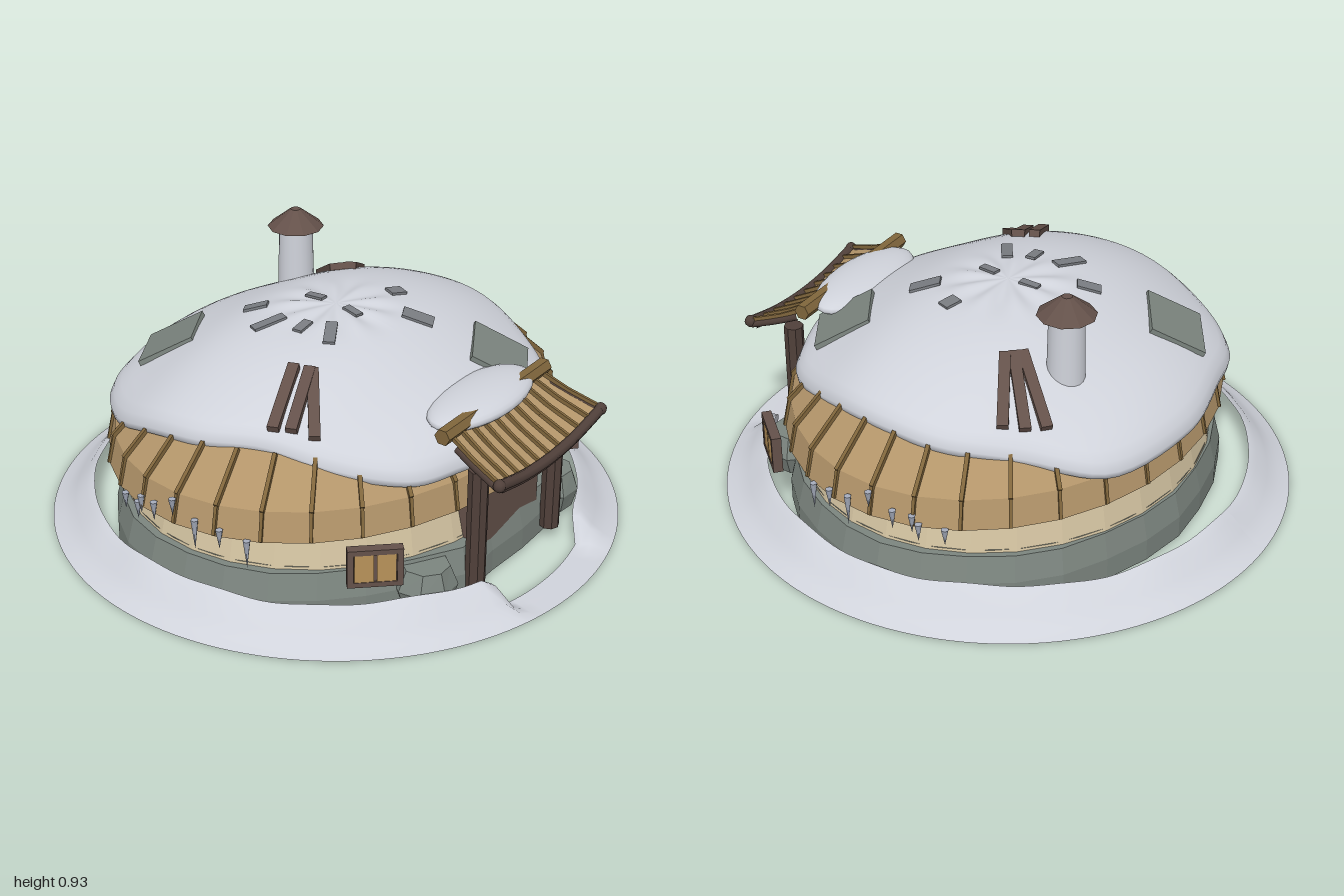
import * as THREE from 'three';

const mat = (name, color, side = THREE.FrontSide) => {
  const m = new THREE.MeshStandardMaterial({ color, side });
  m.name = name;
  return m;
};
const V = (x, y, z) => new THREE.Vector3(x, y, z);
const V2 = (list) => list.map(([x, y]) => new THREE.Vector2(x, y));

// Give a geometry hard facets
function facet(geo) {
  const g = geo.index ? geo.toNonIndexed() : geo;
  g.computeVertexNormals();
  return g;
}

// Elliptical roof plan and the height of the snow dome above it
const RX = 0.87, RZ = 0.72, SIDES = 30;
const domeY = (x, z) => 0.765 - 0.28 * Math.pow(Math.hypot(x / RX, z / RZ), 2.3)
  - 0.022 * Math.exp(-(((Math.abs(z) - 0.44) / 0.17) ** 2));
const onDome = (x, z, lift = 0) => V(x, domeY(x, z) + lift, z);
const domeNormal = (x, z, s = 0.03) =>
  V(domeY(x - s, z) - domeY(x + s, z), 2 * s, domeY(x, z - s) - domeY(x, z + s)).normalize();

export function createModel() {
  const model = new THREE.Group();
  const snow = mat('snow', 0xd0d3db, THREE.DoubleSide);
  const thatch = mat('thatch', 0xb3956a, THREE.DoubleSide);
  const binding = mat('thatchBinding', 0x80663c);
  const plaster = mat('plaster', 0xd2c2a0, THREE.DoubleSide);
  const stone = mat('stone', 0x7c857f, THREE.DoubleSide);
  const wood = mat('darkWood', 0x64514a);
  const beamWood = mat('beamWood', 0x50403a);
  const pane = mat('windowPane', 0xb8925a);
  const ice = mat('ice', 0xa6adbd);
  const slate = mat('slate', 0x7a7d82);

  const add = (name, geo, material, parent = model) => {
    const m = new THREE.Mesh(geo, material);
    m.name = name;
    parent.add(m);
    return m;
  };
  const group = (name) => {
    const g = new THREE.Group();
    g.name = name;
    model.add(g);
    return g;
  };
  // Square bar between two points
  const bar = (name, p, q, w, h, material, parent) => {
    const m = add(name, new THREE.BoxGeometry(w, h, p.distanceTo(q)), material, parent);
    m.position.copy(p).add(q).multiplyScalar(0.5);
    m.lookAt(q);
    return m;
  };
  // Elliptical ring from a profile
  const ovalLathe = (pts, ratio) =>
    new THREE.LatheGeometry(V2(pts), SIDES, Math.PI / SIDES).scale(1, 1, ratio);
  // Plate lying on the dome, turned about the vertical
  const plate = (name, x, z, w, h, d, turn, lift, material, parent) => {
    const m = add(name, new THREE.BoxGeometry(w, h, d), material, parent);
    m.position.copy(onDome(x, z, lift));
    m.quaternion.setFromUnitVectors(V(0, 1, 0), domeNormal(x, z));
    m.rotateY(turn);
  };

  // Snow bank around the hut, flattened in front of the door
  const bank = new THREE.LatheGeometry(V2([[1, 0], [0.96, 0.018], [0.92, 0.05], [0.88, 0.095], [0.85, 0.112]]), 144, Math.PI);
  const bp = bank.attributes.position;
  for (let i = 0; i < bp.count; i++) {
    const x = bp.getX(i), y = bp.getY(i), z = bp.getZ(i);
    const a = Math.atan2(x, z), r = Math.hypot(x, z);
    const keep = z > 0 ? THREE.MathUtils.smoothstep(Math.abs(x), 0.22, 0.27) : 1;
    const r2 = THREE.MathUtils.lerp(1 - (1 - r) * 0.8, r, keep);
    const h = y * (1 + 0.05 * Math.sin(a * 7) + 0.03 * Math.sin(a * 17));
    bp.setXYZ(i, r2 * Math.sin(a), h * (0.02 + 0.98 * keep), r2 * Math.cos(a));
  }
  bank.computeVertexNormals();
  add('snowBank', bank, snow);

  // Open stone footing, rough and flattened at the front
  const footing = ovalLathe([[0.84, 0.01], [0.84, 0.09], [0.815, 0.18], [0.76, 0.18]], 0.86);
  const fp = footing.attributes.position;
  for (let i = 0; i < fp.count; i++) {
    const x = fp.getX(i), z = fp.getZ(i);
    const k = 1 + 0.006 * Math.sin(Math.atan2(x, z) * 9);
    const front = z > 0 && Math.abs(x) < 0.28;
    const flat = Math.hypot(x, z / 0.86) * 0.86 * 0.995 + 0.004 * Math.sin(x * 20);
    fp.setX(i, x * k);
    fp.setZ(i, front ? flat : z * k);
  }
  add('stoneBase', facet(footing), stone);

  // Floor, plaster wall and thatched eave
  const floor = add('floor', new THREE.CircleGeometry(0.785, 48).scale(1, 0.88, 1), stone);
  floor.rotation.x = Math.PI / 2;
  floor.position.y = 0.19;
  add('wall', facet(ovalLathe([[0.79, 0.17], [0.75, 0.33], [0.7, 0.5]], 0.88)), plaster);
  add('thatchedRoof', facet(ovalLathe([[0.74, 0.34], [RX, 0.32], [0.845, 0.42], [0.7, 0.55], [0.52, 0.61], [0, 0.68]], RZ / RX)), thatch);

  // Ribs that tie the thatch down
  const ribs = group('roofRibs');
  for (let i = 0; i < SIDES; i++) {
    const a = (i + 0.5) / SIDES * Math.PI * 2;
    const at = (e, y) => V(RX * e * Math.sin(a), y, RZ * e * Math.cos(a));
    bar('lowerRib', at(1.002, 0.325), at(0.976, 0.422), 0.011, 0.012, binding, ribs);
    bar('upperRib', at(0.98, 0.422), at(0.81, 0.555), 0.014, 0.016, binding, ribs);
  }

  // Snow dome with an uneven drooping edge
  const edge = new THREE.CatmullRomCurve3([
    [0, 0.71], [0.35, 0.62], [0.49, 0.54], [0.65, 0.27], [0.71, 0.03], [0.7, -0.18],
    [0.58, -0.41], [0.43, -0.63], [0.06, -0.73], [-0.24, -0.69], [-0.45, -0.63],
    [-0.65, -0.41], [-0.72, -0.05], [-0.65, 0.19], [-0.56, 0.41], [-0.41, 0.6], [-0.24, 0.67],
  ].map(([x, z]) => V(x, 0, z)), true);
  const drop = [[0.93, -0.07], [0.975, -0.075], [1, -0.055], [1.005, -0.03], [0.985, -0.008], [0.95, 0]];
  for (let f = 0.9; f > 0.01; f -= 0.05) drop.push([f, 0]);
  drop.push([0, 0]);
  const SEG = 108;
  const dome = new THREE.LatheGeometry(V2(drop), SEG);
  const dp = dome.attributes.position;
  for (let i = 0; i < dp.count; i++) {
    const k = Math.floor(i / drop.length), [f, d] = drop[i % drop.length];
    const p = edge.getPoint((k % SEG) / SEG).multiplyScalar(f);
    const a = Math.atan2(p.x, p.z);
    const ripple = Math.exp(-(((f - 0.2) / 0.1) ** 2)) * 0.006 * Math.sin(a * 9);
    dp.setXYZ(i, p.x, domeY(p.x, p.z) + d + (f > 0 ? ripple : 0), p.z);
  }
  dome.computeVertexNormals();
  add('roofSnow', dome, snow);

  // Stone slabs lying on the dome
  for (const [x, z] of [[-0.28, -0.5], [0.28, 0.485]]) plate('roofSlab', x, z, 0.24, 0.018, 0.21, 0.55, 0.002, stone, model);

  // Bare slate patches showing through around the crown
  const patches = group('crownPatches');
  for (const [x, z, len, wide] of [
    [-0.135, -0.24, 0.085, 0.045], [-0.23, -0.11, 0.12, 0.04], [-0.2, 0.01, 0.07, 0.035],
    [-0.18, 0.11, 0.12, 0.04], [-0.02, 0.085, 0.07, 0.03], [0, -0.085, 0.07, 0.03],
    [0.13, 0.25, 0.11, 0.06], [0.22, 0.095, 0.06, 0.05],
  ]) plate('slatePatch', x, z, len, 0.009, wide, Math.atan2(-z, x), 0.005, slate, patches);

  // Loose planks on the dome
  const planks = group('roofPlanks');
  for (const [x1, z1, x2, z2] of [
    [0.32, -0.24, 0.49, -0.43], [0.34, -0.22, 0.54, -0.38], [0.36, -0.2, 0.58, -0.32],
    [-0.62, 0.21, -0.39, 0.12], [-0.59, 0.26, -0.37, 0.17], [-0.56, 0.33, -0.37, 0.18],
  ]) bar('plank', onDome(x1, z1, 0.014), onDome(x2, z2, 0.014), 0.038, 0.025, wood, planks);

  // Chimney and its cap
  const flue = add('chimney', new THREE.CylinderGeometry(0.06, 0.066, 0.3, 20), snow);
  flue.position.set(0.26, 0.705, -0.37);
  const cap = add('chimneyCap', facet(new THREE.CylinderGeometry(0.018, 0.1, 0.065, 10)), wood);
  cap.position.set(0.26, 0.898, -0.37);

  // Door and the boulders beside it
  const door = add('door', new THREE.BoxGeometry(0.4, 0.21, 0.13), wood);
  door.position.set(0, 0.225, 0.64);
  for (const s of [-1, 1]) {
    const g = new THREE.CylinderGeometry(0.08, 0.085, 0.14, 8, 2);
    const p = g.attributes.position;
    for (let i = 0; i < p.count; i++) {
      if (Math.abs(p.getY(i)) < 0.01) { p.setX(i, p.getX(i) * 1.35); p.setZ(i, p.getZ(i) * 1.25); }
    }
    const rock = add('boulder', facet(g), stone);
    rock.position.set(s * 0.385, 0.097, 0.645);
    rock.rotation.y = s * 0.3;
  }

  // Windows
  for (const s of [-1, 1]) {
    const w = group(s > 0 ? 'leftWindow' : 'rightWindow');
    w.position.set(s * 0.592, 0.243, 0.59);
    w.rotation.y = s * 0.82;
    add('windowBack', new THREE.BoxGeometry(0.16, 0.12, 0.02), wood, w);
    for (const t of [-1, 1]) {
      add('frameRail', new THREE.BoxGeometry(0.18, 0.018, 0.034), wood, w).position.y = t * 0.059;
      add('frameStile', new THREE.BoxGeometry(0.02, 0.136, 0.034), wood, w).position.x = t * 0.08;
      add('pane', new THREE.BoxGeometry(0.062, 0.1, 0.006), pane, w).position.set(t * 0.036, 0, 0.012);
    }
  }

  // Porch posts
  const porch = group('porch');
  for (const s of [-1, 1]) {
    const post = add('post', facet(new THREE.CylinderGeometry(0.035, 0.035, 0.44, 8)), beamWood, porch);
    post.position.set(s * 0.235, 0.26, 0.74);
  }

  // Curved porch roof with upturned corners
  const porchAt = (u, v, lift = 0) =>
    V(u * (0.27 + 0.043 * v), 0.592 - 0.13 * Math.pow(v, 0.85) + 0.04 * u * u * v + lift, 0.64 + 0.22 * v);
  const sheet = new THREE.PlaneGeometry(2, 1, 12, 4);
  const sp = sheet.attributes.position;
  for (let i = 0; i < sp.count; i++) {
    const q = porchAt(sp.getX(i), 0.5 - sp.getY(i));
    sp.setXYZ(i, q.x, q.y, q.z);
  }
  sheet.computeVertexNormals();
  add('porchThatch', sheet, thatch, porch);
  for (let i = 0; i <= 10; i++) {
    const u = -1 + i / 5;
    bar('porchRib', porchAt(u, 0, 0.006), porchAt(u, 0.5, 0.006), 0.011, 0.014, binding, porch);
    bar('porchRib', porchAt(u, 0.5, 0.006), porchAt(u, 0.98, 0.006), 0.011, 0.014, binding, porch);
  }
  const tube = (name, pts, r) =>
    add(name, new THREE.TubeGeometry(new THREE.CatmullRomCurve3(pts), 16, r, 8), beamWood, porch);
  const us = [-1, -0.5, 0, 0.5, 1];
  tube('eaveBeam', us.map((u) => porchAt(u, 1.03)), 0.018);
  tube('lowerEaveBeam', us.map((u) => porchAt(u * 0.98, 1, -0.018)), 0.016);
  for (const s of [-1, 1]) {
    tube('sideBeam', [0.2, 0.6, 1].map((v) => porchAt(s, v, -0.012)), 0.014);
    const end = add('eaveEnd', new THREE.SphereGeometry(0.022, 8, 6), beamWood, porch);
    end.position.copy(porchAt(s, 1.03));
  }

  // Porch ridge log and the snow across it
  const ridge = add('porchRidge', facet(new THREE.CylinderGeometry(0.029, 0.029, 0.62, 6)), binding, porch);
  ridge.rotation.z = Math.PI / 2;
  ridge.position.set(0, 0.597, 0.645);
  const drift = add('porchSnow', new THREE.SphereGeometry(1, 28, 14), snow, porch);
  drift.scale.set(0.26, 0.045, 0.125);
  drift.position.set(0, 0.592, 0.59);

  // Icicles under the side eaves: z, top, length
  const icicles = group('icicles');
  for (const s of [-1, 1]) {
    for (const [z, top, len] of [
      [0.255, 0.325, 0.1], [0.17, 0.35, 0.07], [0.085, 0.365, 0.11], [0, 0.415, 0.06],
      [-0.085, 0.37, 0.07], [-0.15, 0.365, 0.065], [-0.17, 0.335, 0.065], [-0.25, 0.325, 0.06],
    ]) {
      const c = add('icicle', new THREE.ConeGeometry(0.013, len, 6), ice, icicles);
      c.rotation.x = Math.PI;
      c.position.set(s * (RX * Math.sqrt(1 - (z / RZ) ** 2) + 0.004), top - len / 2, z);
    }
  }
  return model;
}
